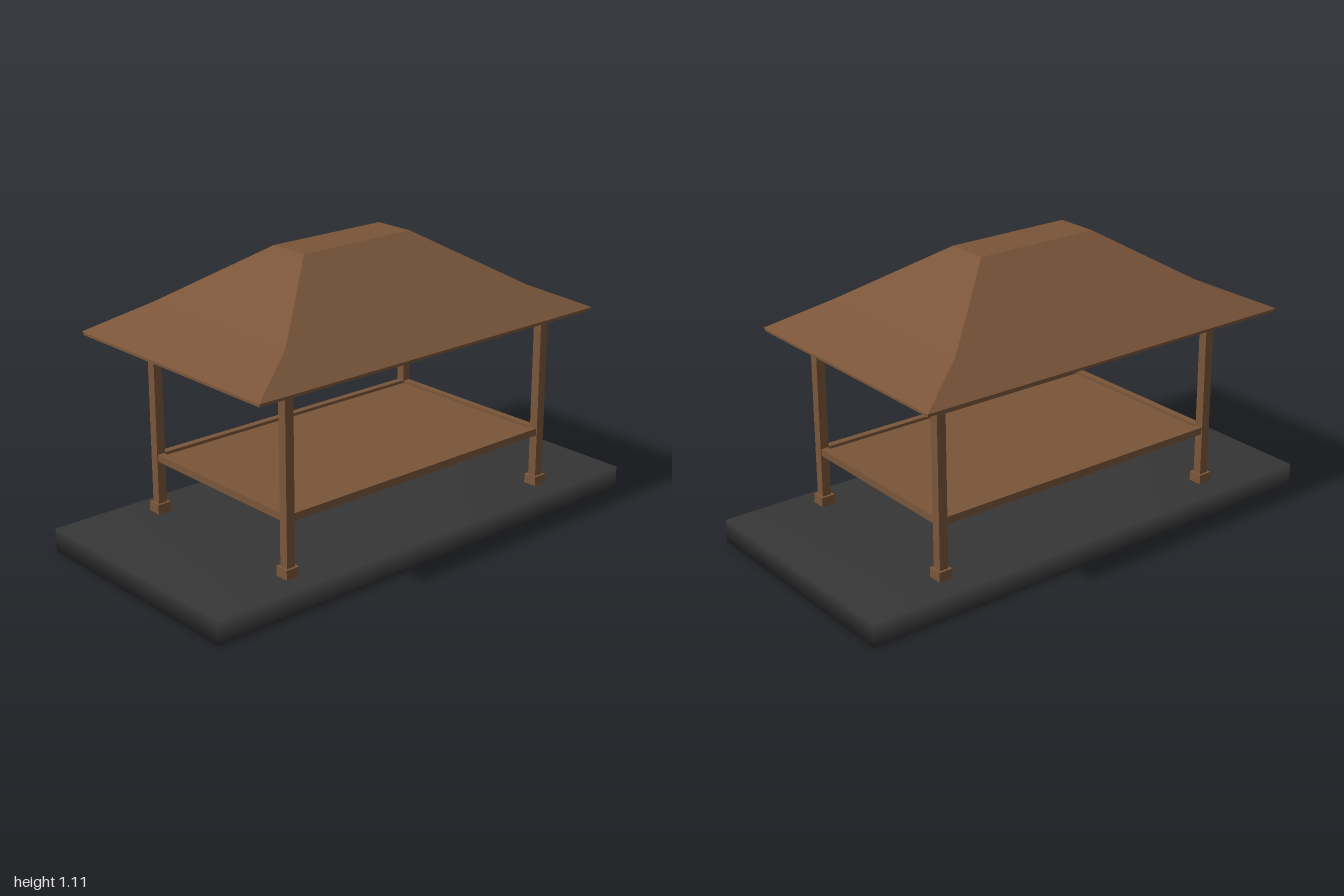
import * as THREE from 'three';
import { mergeVertices } from 'three/addons/utils/BufferGeometryUtils.js';

export function createModel() {
  const model = new THREE.Group();
  const wood = new THREE.MeshStandardMaterial({ name: 'brown wood', color: 0x7a5539 });
  const stone = new THREE.MeshStandardMaterial({ name: 'dark stone', color: 0x363636 });

  // Box given by its min and max on each axis
  const box = (name, x0, x1, y0, y1, z0, z1, material = wood) => {
    const mesh = new THREE.Mesh(new THREE.BoxGeometry(x1 - x0, y1 - y0, z1 - z0), material);
    mesh.position.set((x0 + x1) / 2, (y0 + y1) / 2, (z0 + z1) / 2);
    mesh.name = name;
    model.add(mesh);
    return mesh;
  };

  // Foundation slab with soft, shared corner normals
  const slab = box('foundation', -1, 1, 0, 0.09, -0.473, 0.5, stone);
  slab.geometry.deleteAttribute('normal');
  slab.geometry.deleteAttribute('uv');
  slab.geometry = mergeVertices(slab.geometry);
  slab.geometry.computeVertexNormals();

  // Four posts on square feet
  const px = [-0.615, 0.634], pz = [-0.354, 0.393];
  const h = 0.018, f = 0.028;
  for (const x of px) {
    for (const z of pz) {
      box('post', x - h, x + h, 0.09, 0.787, z - h, z + h);
      box('postFoot', x - f, x + f, 0.09, 0.127, z - f, z + f);
    }
  }

  // Rails around the platform and beams below the roof
  const frame = (name, y0, y1, t) => {
    for (const z of pz) box(name, px[0] + h, px[1] - h, y0, y1, z - t, z + t);
    for (const x of px) box(name, x - t, x + t, y0, y1, pz[0] + h, pz[1] - h);
  };
  frame('platformRail', 0.295, 0.323, 0.014);
  frame('roofBeam', 0.757, 0.787, 0.016);
  box('platformFloor', px[0], px[1], 0.299, 0.311, pz[0], pz[1]);

  // Hipped roof from rectangular rings: [xMin, xMax, zHalf, y]
  const rings = [
    [-0.82, 0.787, 0.51, 0.799],
    [-0.595, 0.57, 0.37, 0.9],
    [-0.27, 0.24, 0.084, 1.108],
  ].map(([x0, x1, z, y]) => [[x0, y, z], [x1, y, z], [x1, y, -z], [x0, y, -z]]);
  const points = [];
  const quad = (a, b, c, d) => points.push(...a, ...b, ...c, ...a, ...c, ...d);
  for (let r = 0; r < 2; r++) {
    for (let i = 0; i < 4; i++) {
      const j = (i + 1) % 4;
      quad(rings[r][i], rings[r][j], rings[r + 1][j], rings[r + 1][i]);
    }
  }
  quad(...rings[2]);
  quad(...[...rings[0]].reverse());
  const roofGeometry = new THREE.BufferGeometry();
  roofGeometry.setAttribute('position', new THREE.Float32BufferAttribute(points, 3));
  roofGeometry.computeVertexNormals();
  const roof = new THREE.Mesh(roofGeometry, wood);
  roof.name = 'roof';
  model.add(roof);

  // Flat ceiling board under the eaves
  box('ceiling', -0.815, 0.782, 0.786, 0.798, -0.505, 0.505);

  return model;
}
